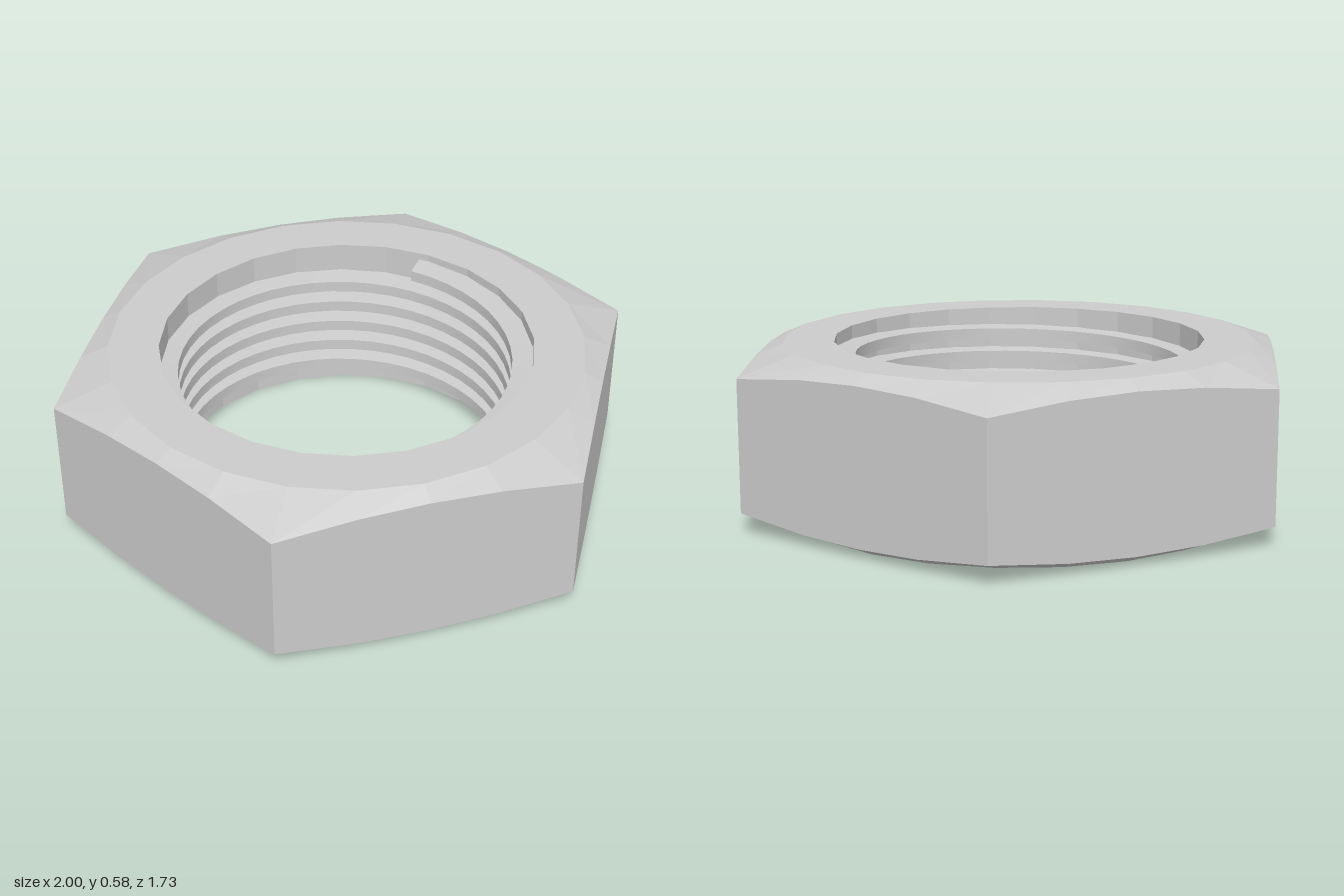
import * as THREE from 'three';
import { toCreasedNormals } from 'three/addons/utils/BufferGeometryUtils.js';

const HEIGHT = 0.58;
const material = new THREE.MeshStandardMaterial({ color: 0xcccccc, flatShading: true });
const smoothMaterial = new THREE.MeshStandardMaterial({ color: 0xcccccc });

// Sweeps a closed (radius, y) section around the y axis; section(i) gives the points of step i.
function sweep(steps, angleAt, section, capped) {
  const positions = [];
  const index = [];
  const n = section(0).length;
  for (let i = 0; i <= steps; i++) {
    const t = angleAt(i);
    for (const [r, y] of section(i)) positions.push(r * Math.cos(t), y, -r * Math.sin(t));
  }
  for (let i = 0; i < steps; i++) {
    for (let p = 0; p < n; p++) {
      const q = (p + 1) % n;
      const a = i * n + p, b = a + n, c = (i + 1) * n + q, d = i * n + q;
      index.push(a, b, c, a, c, d);
    }
  }
  if (capped) {
    const e = steps * n;
    for (let p = 1; p < n - 1; p++) index.push(0, p, p + 1, e, e + p + 1, e + p);
  }
  const indexed = new THREE.BufferGeometry();
  indexed.setAttribute('position', new THREE.Float32BufferAttribute(positions, 3));
  indexed.setIndex(index);
  const geometry = indexed.toNonIndexed();
  geometry.computeVertexNormals();
  return geometry;
}

// Hexagonal body with a plain bore; the cone chamfer leaves curved edges on the flats
function hexBody() {
  const steps = 24;
  const angleAt = (i) => (i / steps) * Math.PI * 2;
  const flat = Math.cos(Math.PI / 6);
  const section = (i) => {
    const fromFlat = (angleAt(i) % (Math.PI / 3)) - Math.PI / 6;
    const r = flat / Math.cos(fromFlat);
    const y = 0.03 + (r - flat) * 0.27;
    return [[0.633, 0], [0.805, 0], [r, y], [r, HEIGHT - y], [0.805, HEIGHT], [0.633, HEIGHT]];
  };
  return sweep(steps, angleAt, section, false);
}

// Right-hand helical ridge, blunt at both ends
function threadRidge() {
  const turns = 5.5, perTurn = 48, pitch = 0.085;
  const steps = turns * perTurn;
  const topAngle = THREE.MathUtils.degToRad(108);
  const topY = 0.526;
  const section = (i) => {
    const y = topY - ((steps - i) / perTurn) * pitch;
    return [[0.65, y - 0.03], [0.65, y + 0.03], [0.566, y + 0.02], [0.566, y - 0.02]];
  };
  const angleAt = (i) => topAngle - ((steps - i) / perTurn) * Math.PI * 2;
  return toCreasedNormals(sweep(steps, angleAt, section, true), 0.5);
}

export function createModel() {
  const group = new THREE.Group();
  group.name = 'hexNut';

  const body = new THREE.Mesh(hexBody(), material);
  body.name = 'hexBody';

  const thread = new THREE.Mesh(threadRidge(), smoothMaterial);
  thread.name = 'innerThread';
  thread.position.z = 0.01;

  group.add(body, thread);
  return group;
}
